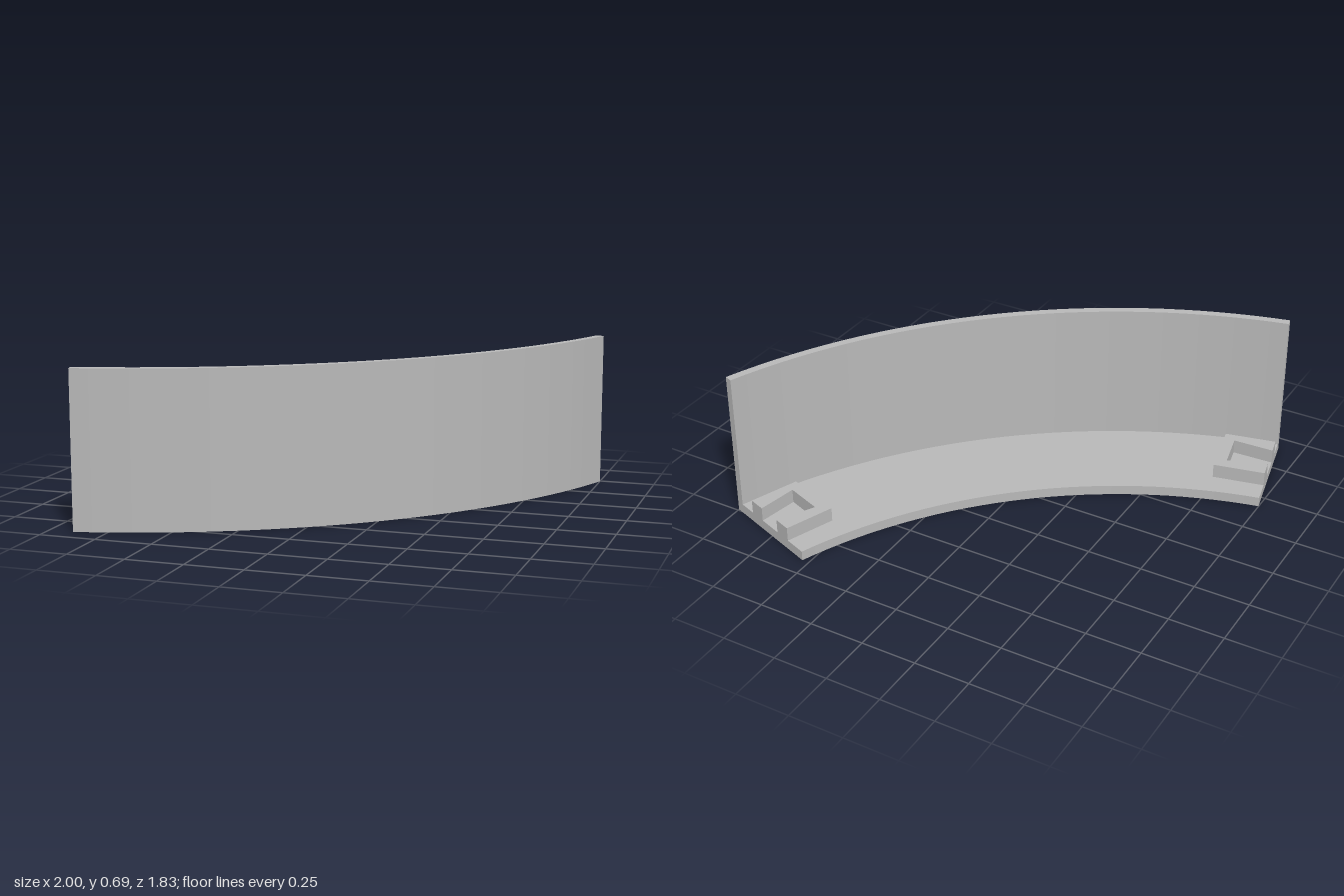
import * as THREE from 'three';

const CENTRE = { x: -1.458, z: -1.641 }; // centre of the arc in plan
const R_IN = 2.12, R_OUT = 2.617, WALL = 0.036;
const FLOOR = 0.045, HEIGHT = 0.685, SOCKET_TOP = 0.11;
const START = THREE.MathUtils.degToRad(20.07);
const END = THREE.MathUtils.degToRad(77.5);

const polygon = (points) => new THREE.Shape(points.map(([x, y]) => new THREE.Vector2(x, y)));

// L-shaped section (radius, height) swept along the arc
function curvedBody() {
  const r = R_OUT - WALL;
  const section = polygon([
    [R_IN, 0], [R_OUT, 0], [R_OUT, HEIGHT], [r, HEIGHT], [r, FLOOR], [R_IN, FLOOR],
  ]);
  const geometry = new THREE.ExtrudeGeometry(section, { depth: 1, steps: 32, bevelEnabled: false });
  const p = geometry.attributes.position;
  for (let i = 0; i < p.count; i++) {
    const a = START + (END - START) * p.getZ(i);
    p.setXYZ(i, CENTRE.x + p.getX(i) * Math.cos(a), p.getY(i), CENTRE.z + p.getX(i) * Math.sin(a));
  }
  geometry.computeVertexNormals();
  return geometry;
}

// Block with a dovetail notch open at the end of the arc
function socket(angle, inward) {
  const c = Math.cos(angle), s = Math.sin(angle);
  const outline = [
    [2.225, 0], [2.305, 0], [2.279, 0.183], [2.453, 0.183],
    [2.42, 0], [2.498, 0], [2.498, 0.233], [2.225, 0.233],
  ].map(([r, d]) => [
    CENTRE.x + r * c - inward * d * s,
    CENTRE.z + r * s + inward * d * c,
  ]);
  const geometry = new THREE.ExtrudeGeometry(polygon(outline), {
    depth: SOCKET_TOP - FLOOR, bevelEnabled: false,
  });
  geometry.rotateX(Math.PI / 2);
  geometry.translate(0, SOCKET_TOP, 0);
  return geometry;
}

export function createModel() {
  const group = new THREE.Group();
  group.name = 'curvedWallSegment';
  const grey = new THREE.MeshStandardMaterial({ color: 0xb8b8b8 });
  grey.name = 'light grey';

  const add = (name, geometry) => {
    const mesh = new THREE.Mesh(geometry, grey);
    mesh.name = name;
    group.add(mesh);
  };
  add('wallAndFloor', curvedBody());
  add('leftSocket', socket(START, 1));
  add('rightSocket', socket(END, -1));
  return group;
}
